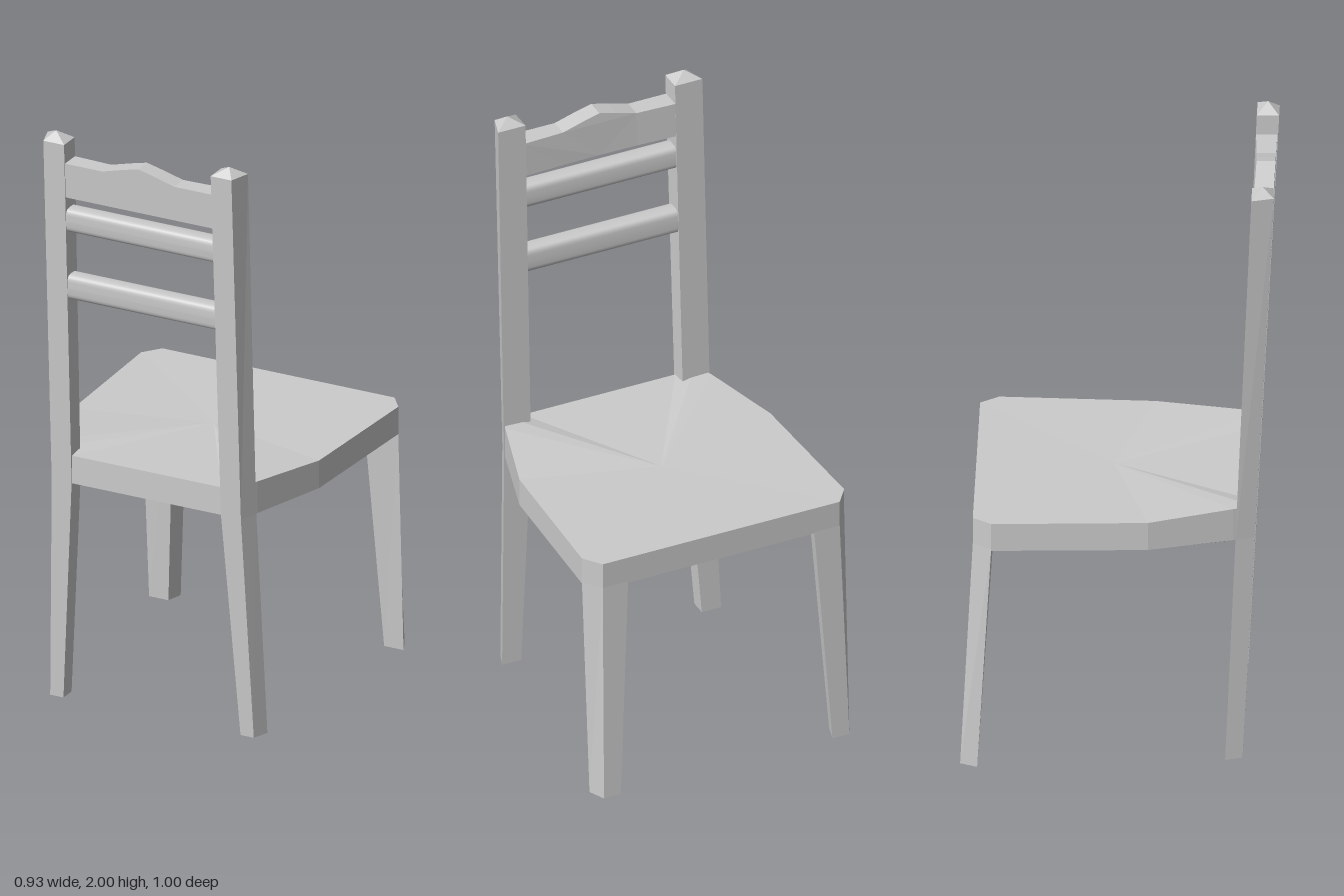
import * as THREE from 'three';

const material = new THREE.MeshStandardMaterial({ color: 0xcccccc });

// Depth range of the leaning back at height y
const backIn = (y) => 0.345 + 0.042 * y;
const backOut = (y) => 0.4 + 0.0505 * y;

function addMesh(group, name, geometry) {
  const mesh = new THREE.Mesh(geometry, material);
  mesh.name = name;
  group.add(mesh);
}

// Skin through rings stacked upward (counterclockwise from above), capped by fans to two tips
function loft(rings, bottomTip, topTip) {
  const pos = [];
  const tri = (...pts) => pts.forEach((p) => pos.push(...p));
  const n = rings[0].length;
  const last = rings.length - 1;
  for (let i = 0; i < n; i++) {
    const j = (i + 1) % n;
    for (let k = 0; k < last; k++) {
      const a = rings[k], b = rings[k + 1];
      tri(a[i], a[j], b[j]);
      tri(a[i], b[j], b[i]);
    }
    tri(bottomTip, rings[0][j], rings[0][i]);
    tri(topTip, rings[last][i], rings[last][j]);
  }
  const geometry = new THREE.BufferGeometry();
  geometry.setAttribute('position', new THREE.Float32BufferAttribute(pos, 3));
  geometry.computeVertexNormals();
  return geometry;
}

// The same loft on both sides of the chair
function addPair(group, name, rings, bottomTip, topTip) {
  const flip = ([x, y, z]) => [-x, y, z];
  addMesh(group, name + 'Left', loft(rings, bottomTip, topTip));
  addMesh(group, name + 'Right',
    loft(rings.map((r) => r.map(flip).reverse()), flip(bottomTip), flip(topTip)));
}

// Rear leg and back post section: outer edge tapers towards the outside of the back
const postRing = (y, outerOut, outerIn, inner) => [
  [outerOut, y, backOut(y)], [outerIn, y, backIn(y)],
  [inner, y, backIn(y)], [inner, y, backOut(y)],
];

// Rounded slat following the lean of the back
function slat(centerY, halfHeight) {
  const geometry = new THREE.CylinderGeometry(1, 1, 0.58, 24, 1);
  geometry.rotateZ(Math.PI / 2);
  const p = geometry.attributes.position;
  const square = (v) => Math.sign(v) * Math.abs(v) ** 0.5;
  for (let i = 0; i < p.count; i++) {
    const y = centerY + halfHeight * square(p.getY(i));
    const t = 0.5 + 0.47 * square(p.getZ(i));
    p.setXYZ(i, p.getX(i), y, THREE.MathUtils.lerp(backIn(y), backOut(y), t));
  }
  geometry.computeVertexNormals();
  return geometry;
}

// Top rail with a raised centre, sheared to the lean of the back
function crest() {
  const outline = [
    [-0.28, 1.785], [-0.13, 1.785], [0, 1.785], [0.13, 1.785], [0.28, 1.785],
    [0.28, 1.905], [0.13, 1.905], [0.06, 1.925], [0, 1.94], [-0.06, 1.925],
    [-0.13, 1.905], [-0.28, 1.905],
  ];
  const shape = new THREE.Shape(outline.map(([x, y]) => new THREE.Vector2(x, y)));
  const geometry = new THREE.ExtrudeGeometry(shape, { depth: 1, bevelEnabled: false });
  const p = geometry.attributes.position;
  for (let i = 0; i < p.count; i++) {
    const x = p.getX(i), y = p.getY(i);
    const bow = 0.008 * (1 - (x / 0.28) ** 2);
    p.setZ(i, p.getZ(i) > 0.5 ? backOut(y) - 0.003 : backIn(y) + bow);
  }
  geometry.computeVertexNormals();
  return geometry;
}

export function createModel() {
  const chair = new THREE.Group();
  chair.name = 'chair';

  // Seat: [x, z, top height] for one half, mirrored into a closed outline
  const half = [
    [0.27, 0.437, 0.866], [0.34, 0.437, 0.88], [0.365, 0.37, 0.88],
    [0.445, 0.1, 0.866], [0.465, -0.4, 0.865], [0.42, -0.46, 0.865],
  ];
  const outline = [...half, ...half.map(([x, z, y]) => [-x, z, y]).reverse()];
  const seatBottom = outline.map(([x, z]) => [x, 0.77, z]);
  const seatTop = outline.map(([x, z, y]) => [x, y, z]);
  addMesh(chair, 'seat', loft([seatBottom, seatTop], [0, 0.77, 0], [0, 0.861, -0.02]));

  // Shallow belly under the seat
  const bellyTop = outline.map(([x, z]) => [x * 0.98, 0.772, THREE.MathUtils.clamp(z, -0.41, 0.365)]);
  const bellyLow = bellyTop.map(([x, , z]) => [x * 0.95, 0.755, z * 0.97]);
  addMesh(chair, 'seatUnderside', loft([bellyLow, bellyTop], [0, 0.75, 0], [0, 0.772, 0]));

  // Rear legs running up into the back posts, with pyramid caps
  addPair(chair, 'backPost', [
    postRing(0, 0.368, 0.388, 0.32),
    postRing(0.77, 0.342, 0.365, 0.27),
    postRing(1.972, 0.34, 0.362, 0.265),
  ], [0.355, 0, 0.372], [0.313, 2, 0.463]);

  // Front legs, splayed and chamfered to follow the seat corner
  addPair(chair, 'frontLeg', [
    [[0.46, 0, -0.445], [0.435, 0, -0.5], [0.375, 0, -0.5], [0.39, 0, -0.445]],
    [[0.465, 0.775, -0.4], [0.42, 0.775, -0.46], [0.33, 0.775, -0.46], [0.345, 0.775, -0.395]],
  ], [0.415, 0, -0.472], [0.39, 0.775, -0.43]);

  // Back rails
  addMesh(chair, 'crestRail', crest());
  addMesh(chair, 'upperSlat', slat(1.7, 0.041));
  addMesh(chair, 'lowerSlat', slat(1.463, 0.043));

  return chair;
}
